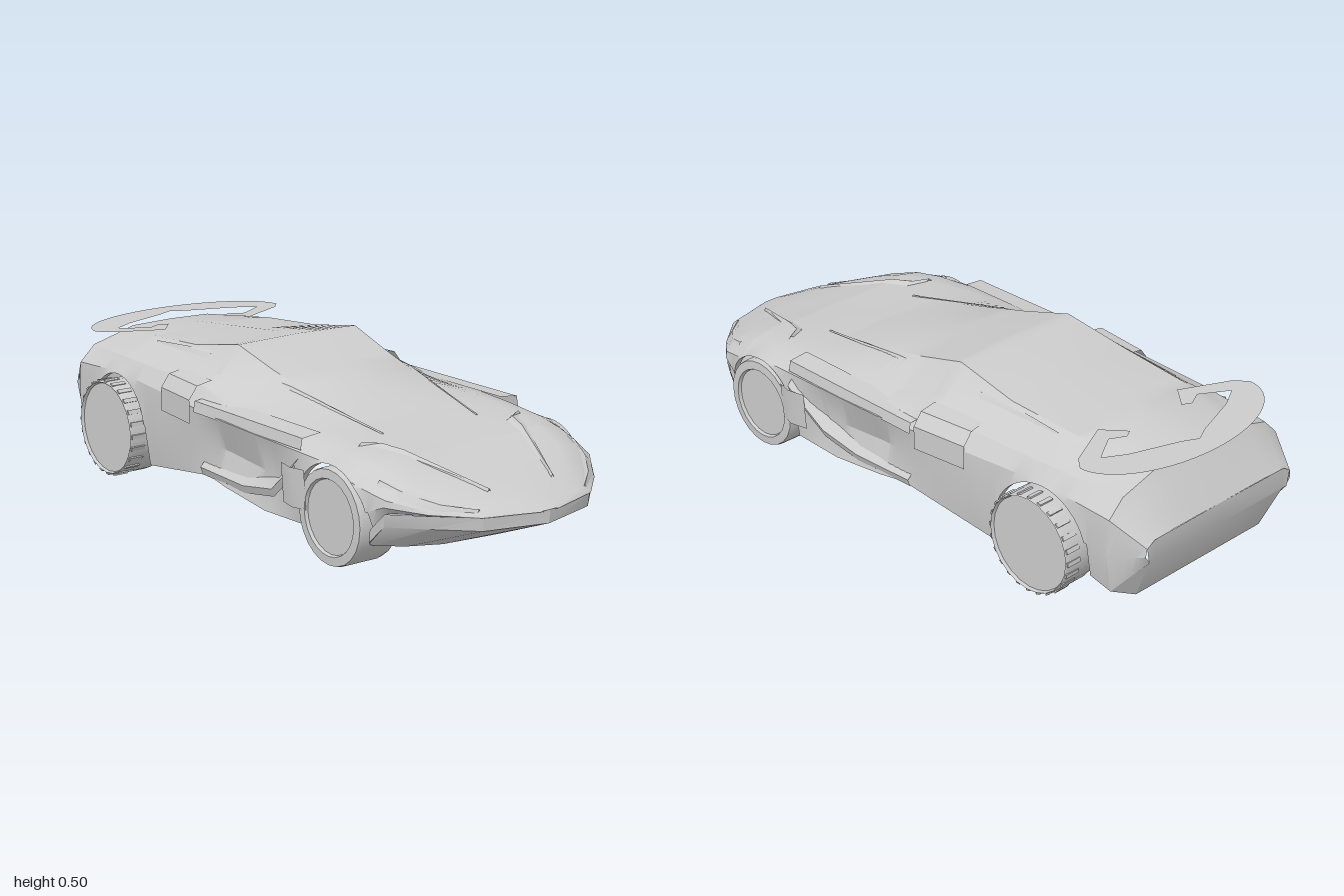
import * as THREE from 'three';
import { toCreasedNormals } from 'three/addons/utils/BufferGeometryUtils.js';

const mat = new THREE.MeshStandardMaterial({ color: 0xcccccc, side: THREE.DoubleSide });
const mix = THREE.MathUtils.lerp;

// Guide line along the car: alternating z and value, nose to tail
const guide = (...k) => z => {
  let i = 0;
  while (i < k.length - 4 && z < k[i + 2]) i += 2;
  return mix(k[i + 1], k[i + 3], THREE.MathUtils.clamp((z - k[i]) / (k[i + 2] - k[i]), 0, 1));
};
const roofY = guide(1, .203, .95, .225, .85, .262, .65, .32, .4, .354, -.175, .497, -.65, .448, -.9, .42, -1, .27);
const roofX = guide(1, .01, .75, .16, 0, .22, -.4, .24, -.65, .23, -.9, .15, -1, .12);
const roofDrop = guide(1, 0, 0, .012, -.175, .005, -.4, .02, -1, 0);
const cowlX = guide(1, .02, .85, .2, .75, .26, .25, .33, -.175, .3, -.65, .29, -1, .2);
const cowlY = guide(1, .203, .65, .325, .4, .347, 0, .362, -.175, .405, -.9, .395, -1, .27);
const wideX = guide(1, .03, .95, .2, .85, .31, .75, .39, .65, .415, 0, .42, -.65, .367, -.9, .36, -1, .31);
const wideY = guide(1, .202, .85, .215, .65, .265, .55, .3, -.65, .335, -.9, .32, -1, .25);
const tuck = guide(.4, -.005, .25, .035, 0, .04, -.175, .01, -.4, -.005);
const sillY = guide(.75, .2, .65, .09, .2, .08, -.1, .118, -.48, .06, -.65, .06, -.82, .1, -.9, .08, -1, .2);

// Half cross-section at z, from the roof centre down to the sill
function sectionAt(z) {
  const cx = cowlX(z), cy = cowlY(z), wx = wideX(z), wy = wideY(z), sy = sillY(z);
  return [
    [0, roofY(z)], [roofX(z), roofY(z) - roofDrop(z)], [cx, cy],
    [mix(cx, wx, .6), mix(cy, wy, .3)], [wx, wy],
    [wx - tuck(z), mix(wy, sy, .5)], [wx - .015, sy],
  ];
}

// Height of the bodywork above a plan position
function heightAt(x, z) {
  const s = sectionAt(z);
  let i = 0;
  while (i < 3 && x > s[i + 1][0]) i++;
  const [a, b] = [s[i], s[i + 1]];
  return mix(a[1], b[1], Math.min((x - a[0]) / (b[0] - a[0]), 1));
}

const WHEELS = [
  { name: 'frontWheel', z: .54, r: .145, y: .145, arch: .157, rim: .115 },
  { name: 'rearWheel', z: -.65, r: .155, y: .157, arch: .172, rim: .15 },
];

// Surface through equal-length rows of [x, y, z]
function loft(name, rows) {
  const n = rows[0].length, index = [];
  for (let r = 0; r < rows.length - 1; r++)
    for (let c = 0; c < n - 1; c++) {
      const a = r * n + c, b = a + n;
      index.push(a, b, a + 1, b, b + 1, a + 1);
    }
  const g = new THREE.BufferGeometry();
  g.setAttribute('position', new THREE.Float32BufferAttribute(rows.flat(2), 3));
  g.setIndex(index);
  const mesh = new THREE.Mesh(toCreasedNormals(g, 0.5), mat);
  mesh.name = name;
  return mesh;
}

// Completes a half row (centre first) with its mirror image
const mirrorRow = half => [...half.slice(1).reverse().map(([x, y, z]) => [-x, y, z]), ...half];

// Main shell with wheel arches cut into its lower edge
function bodyShell() {
  const zs = [];
  for (let i = 0; i <= 80; i++) zs.push(1 - i * .025);
  for (const w of WHEELS) {
    for (let i = 0; i <= 20; i++) zs.push(w.z + w.arch * Math.cos(Math.PI * i / 20));
    zs.push(w.z + w.arch + .002, w.z - w.arch - .002);
  }
  zs.sort((a, b) => b - a);
  return loft('bodyShell', zs.map(z => mirrorRow(sectionAt(z).map(([x, y], i) => {
    for (const w of WHEELS) {
      const d = w.arch ** 2 - (z - w.z) ** 2;
      if (i > 3 && d > -1e-6) y = Math.max(y, w.y + Math.sqrt(Math.max(d, 0)));
    }
    return [x, y, z];
  }))));
}

// Narrow strip laid over the bodywork along a plan path of [x, z, width]
function bodyStrip(name, path, side, lift) {
  return loft(name, path.map(([x, z, w]) => [-1, 0, 1].map(k => {
    const px = x + k * w / 2;
    return [side * px, heightAt(px, z) + (k ? .001 : lift), z];
  })));
}

function wheel({ name, z, r, y, rim }, side) {
  const g = new THREE.Group();
  g.name = name;
  const profile = [[r * .97, -.07], [r, -.05], [r, .055], [r * .98, .068], [rim, .07], [rim - .004, .06], [0, .06]];
  const geo = new THREE.LatheGeometry(profile.map(p => new THREE.Vector2(...p)), 24);
  const tyre = new THREE.Mesh(toCreasedNormals(geo, 0.5), mat);
  tyre.name = 'tyre';
  tyre.rotation.z = -side * Math.PI / 2;
  g.add(tyre);
  // Tread bars on the rear tyres
  if (z < 0) for (let i = 0; i < 24; i++) {
    const a = i * Math.PI / 12;
    const bar = new THREE.Mesh(new THREE.BoxGeometry(.05, .005, .014), mat);
    bar.name = 'treadBar';
    bar.position.set(side * .042, r * Math.cos(a), r * Math.sin(a));
    bar.rotation.x = a + .15;
    g.add(bar);
  }
  g.position.set(side * .355, y, z);
  return g;
}

// Flat crescent wing with two inward-pointing legs
function rearWing() {
  const inner = [[.33, .75], [.17, .675], [.11, .745], [.14, .76], [.19, .735], [.28, .79], [.21, .83], [.05, .885]];
  const shape = new THREE.Shape();
  shape.absellipse(0, .79, .365, .19, 0, Math.PI, false);
  for (const [x, z] of inner) shape.lineTo(-x, z);
  shape.lineTo(0, .91);
  for (const [x, z] of inner.reverse()) shape.lineTo(x, z);
  const wing = new THREE.Mesh(new THREE.ShapeGeometry(shape, 24).rotateX(-Math.PI / 2), mat);
  wing.name = 'rearWing';
  wing.position.y = .443;
  return wing;
}

export function createModel() {
  const car = new THREE.Group();
  car.name = 'sportsCar';
  car.add(bodyShell());

  // Front bumper: nose edge, blunt lip, undercut to the chin
  const edge = [[0, .203, 1], [.2, .203, .95], [.31, .204, .85], [.39, .2, .75], [.402, .145, .7]];
  const lip = edge.map(([x, y, z]) => [x * .99, y - .04, z - x * .02]);
  const chin = edge.map(([x], i) => [x * .95, .075 + i * .004, .78 - .11 * (x / .402) ** 3]);
  car.add(loft('frontBumper', [edge, lip, chin].map(mirrorRow)));

  // Rear bumper face and its tucked-under skirt
  car.add(loft('rearBumper', [
    [[0, .27, -1], [.28, .268, -1], [.31, .25, -1]],
    [[0, .2, -1], [.28, .2, -1], [.3, .2, -1]],
    [[0, .05, -.93], [.27, .05, -.93], [.345, .08, -.9]],
  ].map(mirrorRow)));

  for (const s of [1, -1]) {
    for (const w of WHEELS) car.add(wheel(w, s));
    // Bonnet ducts, headlamps and roof rail creases
    car.add(bodyStrip('bonnetDuct', [[.3, .53, .02], [.25, .56, .045], [.225, .63, .035], [.12, .88, .01]], s, .01));
    car.add(bodyStrip('headlamp', [[.37, .7, .02], [.34, .78, .035], [.28, .86, .03], [.2, .93, .01]], s, .008));
    car.add(bodyStrip('roofRail', [[.25, -.6, .005], [.26, -.3, .02], [.23, .1, .015], [.18, .48, .004]], s, .005));
    // Shoulder blade over the door and the scoop behind it
    car.add(loft('doorBlade', [.4, .2, 0, -.15].map(z =>
      [[s * .345, .353, z], [s * .412, .346, z], [s * .418, .312, z]])));
    car.add(loft('sideScoop', [0, .07, .19].map(d => {
      const x = .418 - d * .12;
      return [[s * (x - .085), .395, -.17 - d], [s * (x - .03), .385, -.17 - d], [s * x, .345, -.17 - d], [s * x, .27, -.17 - d]];
    })));
    // Swept fin from the front arch along the lower door
    car.add(loft('doorFin', [[.39, .27, .435], [.25, .16, .415], [.1, .135, .412], [-.13, .14, .408]].map(([z, y, x]) =>
      [[s * (x - .03), y + .03, z], [s * x, y, z], [s * (x - .01), y - .025, z]])));
    // Arch trailing spur
    car.add(loft('archSpur', [[.43, .43], [.38, .443], [.32, .43]].map(([z, x]) =>
      [[s * x, .262, z], [s * (x - .008), .14, z]])));
  }
  car.add(rearWing());
  return car;
}
